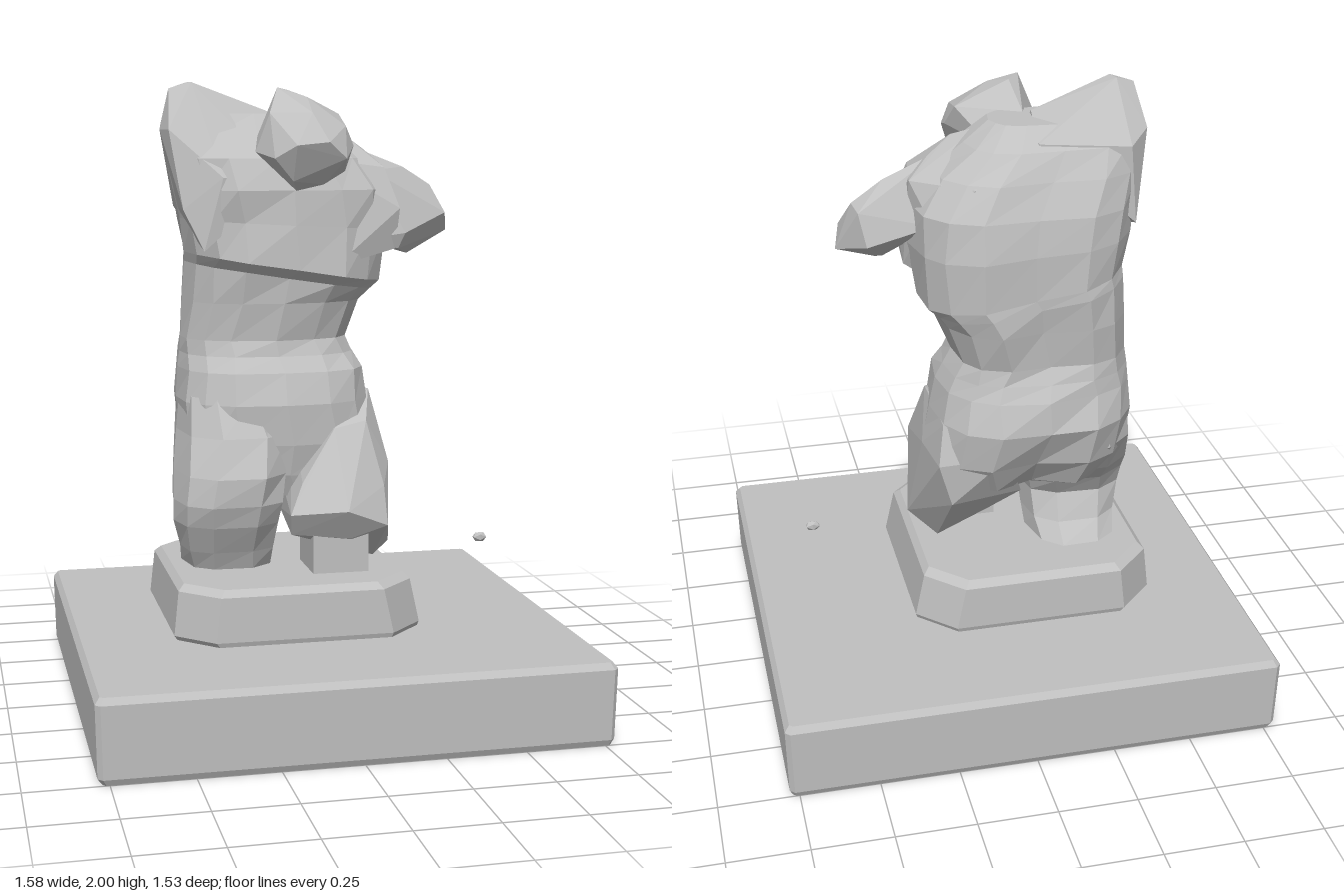
import * as THREE from 'three';
import { ConvexGeometry } from 'three/addons/geometries/ConvexGeometry.js';

const stone = new THREE.MeshStandardMaterial({ color: 0xc0c0c0 });
stone.name = 'grey stone';

// Skin a stack of equal-sized rings (bottom to top) with flat facets and closed ends
function skin(rings) {
  const n = rings[0].length, pos = [];
  const tri = (...p) => p.forEach((q) => pos.push(...q));
  for (let i = 0; i + 1 < rings.length; i++) {
    const lo = rings[i], hi = rings[i + 1];
    for (let j = 0; j < n; j++) {
      const k = (j + 1) % n;
      tri(lo[j], lo[k], hi[k]);
      tri(lo[j], hi[k], hi[j]);
    }
  }
  const centre = (r) => [0, 1, 2].map((a) => r.reduce((s, p) => s + p[a], 0) / n);
  const bottom = rings[0], top = rings[rings.length - 1];
  for (let j = 0; j < n; j++) {
    const k = (j + 1) % n;
    tri(centre(bottom), bottom[k], bottom[j]);
    tri(centre(top), top[j], top[k]);
  }
  const g = new THREE.BufferGeometry();
  g.setAttribute('position', new THREE.Float32BufferAttribute(pos, 3));
  g.computeVertexNormals();
  return g;
}

// Rectangle with cut corners
const slabRing = ([y, x0, x1, z0, z1, c]) => [
  [x1, y, z1 - c], [x1, y, z0 + c], [x1 - c, y, z0], [x0 + c, y, z0],
  [x0, y, z0 + c], [x0, y, z1 - c], [x0 + c, y, z1], [x1 - c, y, z1],
];

// Squarish body section; slope tilts it sideways, groove pulls in the spine, rough chisels it
let seed = 7;
const rand = () => (seed = (seed * 16807) % 2147483647) / 2147483647 - 0.5;
function bodyRing(count, rough) {
  const soft = (v) => Math.sign(v) * Math.abs(v) ** 0.75;
  return ([y, x0, x1, front, back, slope = 0, groove = 0]) =>
    Array.from({ length: count }, (_, j) => {
      const a = (j / count) * Math.PI * 2;
      const dx = soft(Math.cos(a)) * (x1 - x0) / 2;
      let z = (front + back) / 2 - soft(Math.sin(a)) * (front - back) / 2;
      if (j === count / 4) z += groove;
      return [(x0 + x1) / 2 + dx + rand() * rough, y + slope * dx, z + rand() * rough];
    });
}

const hull = (points) => new ConvexGeometry(points.map((p) => new THREE.Vector3(...p)));

export function createModel() {
  const group = new THREE.Group();
  const add = (name, geometry) => {
    const mesh = new THREE.Mesh(geometry, stone);
    mesh.name = name;
    group.add(mesh);
    return mesh;
  };

  // Base slab and cut-corner plinth
  add('base', skin([
    [0, -0.77, 0.77, -0.75, 0.75, 0.01], [0.02, -0.785, 0.78, -0.76, 0.76, 0.015],
    [0.24, -0.79, 0.785, -0.765, 0.765, 0.015], [0.26, -0.775, 0.77, -0.75, 0.75, 0.01],
  ].map(slabRing)));
  add('plinth', skin([
    [0.275, -0.485, 0.29, -0.395, 0.395, 0.115], [0.29, -0.495, 0.295, -0.4, 0.4, 0.115],
    [0.43, -0.48, 0.265, -0.395, 0.395, 0.115], [0.45, -0.46, 0.245, -0.37, 0.37, 0.11],
  ].map(slabRing)));

  // Torso from crotch to neck: y, right, left, front, back, slope, groove
  add('torso', skin([
    [0.68, -0.18, 0.04, 0.1, -0.16],
    [0.75, -0.34, 0.16, 0.13, -0.36, 0, 0.06],
    [0.85, -0.41, 0.23, 0.15, -0.42, 0, 0.05],
    [0.98, -0.425, 0.21, 0.145, -0.45, 0, 0.02],
    [1.08, -0.42, 0.2, 0.12, -0.42],
    [1.13, -0.41, 0.17, 0.085, -0.405],
    [1.18, -0.405, 0.15, 0.07, -0.4, 0, 0.02],
    [1.3, -0.39, 0.19, 0.095, -0.42, 0, 0.03],
    [1.38, -0.39, 0.22, 0.105, -0.425, -0.15, 0.03],
    [1.41, -0.39, 0.25, 0.165, -0.425, -0.15, 0.03],
    [1.55, -0.41, 0.27, 0.15, -0.42, -0.05, 0.03],
    [1.66, -0.43, 0.26, 0.15, -0.405, 0, 0.03],
    [1.76, -0.45, 0.2, 0.11, -0.36, 0, 0.03],
    [1.84, -0.44, 0.1, 0.03, -0.31, 0, 0.02],
    [1.9, -0.36, 0.02, -0.03, -0.23],
  ].map(bodyRing(16, 0.015))));

  // Right leg, flaring backwards where it meets the plinth
  add('rightThigh', skin([
    [0.45, -0.42, -0.13, 0.12, -0.24],
    [0.51, -0.435, -0.12, 0.15, -0.18],
    [0.6, -0.455, -0.11, 0.19, -0.15],
    [0.67, -0.46, -0.1, 0.22, -0.19],
    [0.76, -0.45, -0.08, 0.225, -0.3],
    [0.88, -0.425, -0.06, 0.17, -0.39],
    [1.0, -0.415, -0.12, 0.1, -0.38],
  ].map(bodyRing(10, 0.012))));

  // Left leg, stepping forward and broken off above the knee
  add('leftThigh', hull([
    [0.21, 1.0, -0.05], [0.2, 0.98, -0.3], [0.02, 0.9, -0.41], [0.16, 0.92, 0.12],
    [0.05, 0.9, 0.14], [0.24, 0.85, -0.15], [0.24, 0.78, 0.1], [0.22, 0.85, -0.33],
    [0.2, 0.72, 0.2], [-0.07, 0.74, 0.21], [-0.05, 0.72, -0.3], [0.18, 0.71, -0.33],
    [-0.12, 0.65, 0.27], [-0.11, 0.58, 0.23], [0.06, 0.66, 0.3], [0.08, 0.56, 0.24],
    [0.2, 0.6, 0.25], [0.26, 0.5, 0.03], [0.25, 0.65, -0.02], [0.2, 0.46, 0.06],
    [0.18, 0.46, -0.08], [0, 0.52, -0.05], [-0.08, 0.6, -0.1], [0.2, 0.58, -0.15],
  ]));
  add('legSupport', new THREE.BoxGeometry(0.18, 0.16, 0.2).toNonIndexed()).position.set(0.05, 0.52, 0.135);

  // Raised right shoulder with the arm stump
  add('rightShoulder', hull([
    [-0.44, 1.98, -0.1], [-0.38, 2, -0.12], [-0.37, 2, -0.08], [-0.47, 1.85, -0.1],
    [-0.455, 1.85, 0], [-0.45, 1.87, -0.22], [-0.3, 1.92, -0.14], [-0.33, 1.93, -0.2],
    [-0.3, 1.9, -0.02], [-0.38, 1.84, -0.3], [-0.42, 1.6, 0.06], [-0.4, 1.6, -0.3],
    [-0.12, 1.91, -0.1], [-0.1, 1.86, -0.28], [-0.1, 1.7, 0.1], [-0.3, 1.7, 0.11],
    [-0.36, 1.47, 0.1],
  ]));

  // Lowered left shoulder and outstretched arm stump
  add('leftShoulder', hull([
    [0.04, 1.87, -0.1], [0, 1.76, 0.08], [0.05, 1.42, 0.15], [0.2, 1.42, -0.2],
    [0.1, 1.75, -0.33], [0.12, 1.84, -0.06], [0.2, 1.79, -0.1], [0.24, 1.73, 0.03],
    [0.27, 1.74, -0.17], [0.23, 1.65, -0.25], [0.27, 1.47, 0.06], [0.28, 1.6, 0.08],
    [0.28, 1.45, -0.1],
  ]));
  add('leftArmStump', hull([
    [0.15, 1.8, -0.08], [0.15, 1.5, 0.08], [0.2, 1.72, 0.03], [0.2, 1.6, -0.2],
    [0.34, 1.73, -0.11], [0.44, 1.67, -0.13], [0.43, 1.66, -0.2], [0.41, 1.56, -0.23],
    [0.49, 1.52, -0.11], [0.47, 1.58, -0.05], [0.3, 1.52, 0.075], [0.28, 1.47, 0.06],
    [0.33, 1.45, -0.02], [0.37, 1.49, -0.12],
  ]));

  // Bowed head and neck
  add('head', hull([
    [-0.12, 1.98, 0.07], [-0.08, 1.975, 0.02], [-0.03, 1.95, 0.1], [0.09, 1.9, 0.02],
    [0.11, 1.83, 0.08], [0.1, 1.8, 0.18], [0.07, 1.86, 0.2], [-0.04, 1.9, 0.22],
    [-0.16, 1.9, 0.15], [-0.2, 1.78, 0.12], [-0.18, 1.83, 0.05], [-0.16, 1.76, 0.23],
    [-0.1, 1.8, 0.28], [0, 1.81, 0.285], [0.06, 1.76, 0.26], [-0.08, 1.66, 0.17],
    [0, 1.68, 0.2], [0.08, 1.72, 0.15], [-0.1, 1.69, 0.22], [0, 1.8, -0.1],
    [-0.1, 1.9, -0.08],
  ]));

  // Small loose chip floating beside the statue
  const chip = add('stoneChip', new THREE.IcosahedronGeometry(1, 0));
  chip.scale.set(0.026, 0.018, 0.014);
  chip.position.set(0.585, 0.49, 0.015);

  return group;
}
